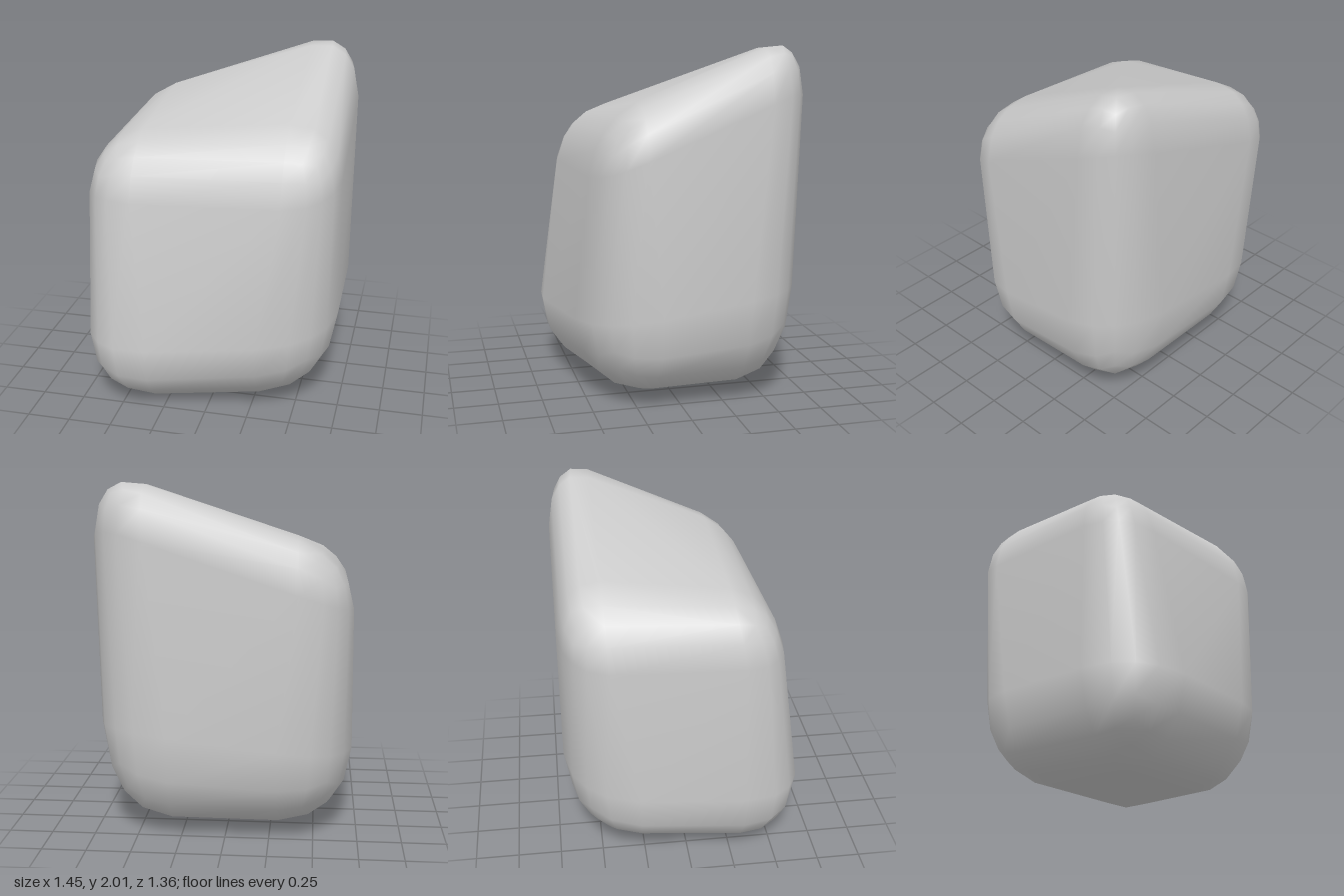
import * as THREE from 'three';
import { mergeVertices } from 'three/addons/utils/BufferGeometryUtils.js';

// Corners of the boulder's enclosing block: [x, y, z]
const BOTTOM = {
  frontLeft: [0.72, 0.06, 0.51], frontRight: [-0.75, -0.07, 0.82],
  backLeft: [0.72, 0.05, -0.7], backRight: [-0.71, 0.06, -0.7],
};
const TOP = {
  frontLeft: [0.72, 1.6, 0.47], frontRight: [-0.7, 1.6, 0.5],
  backLeft: [0.72, 2.21, -0.7], backRight: [-0.7, 1.62, -0.7],
};

const mix = (a, b, t) => a.map((v, i) => v + (b[i] - v) * t);

// Blend the four corners of one level
function level(c, s, t) {
  return mix(mix(c.backRight, c.backLeft, s), mix(c.frontRight, c.frontLeft, s), t);
}

// Round the cube: flat middles, tighter edges at the top, broader ones below
function roundOff(u) {
  const core = u[1] > 0 ? [0.58, 0.62, 0.58] : [0.42, 0.42, 0.42];
  const n = u.map((v) => Math.max(0, (Math.abs(v) - 0.2) / 0.8));
  const len = Math.hypot(...n);
  return u.map((v, i) => Math.sign(v) * (core[i] + ((1 - core[i]) * n[i]) / len));
}

// Fit the rounded cube into the skewed block, tapering the front underside
function warp(u) {
  const [px, py, pz] = roundOff(u);
  const s = (px + 1) / 2, t = (pz + 1) / 2;
  const [x, y, z] = mix(level(BOTTOM, s, t), level(TOP, s, t), (py + 1) / 2);
  const under = Math.max(0, (-py - 0.5) / 0.5);
  return [x, y, z > 0 ? z * (1 - 0.15 * under) : z];
}

export function createModel() {
  const group = new THREE.Group();
  group.name = 'boulder';

  let geometry = new THREE.BoxGeometry(2, 2, 2, 5, 5, 5);
  geometry.deleteAttribute('uv');
  geometry.deleteAttribute('normal');
  geometry = mergeVertices(geometry, 1e-3);

  const pos = geometry.attributes.position;
  for (let i = 0; i < pos.count; i++) {
    // snap to the grid so the core rows are exact
    const u = [pos.getX(i), pos.getY(i), pos.getZ(i)].map((v) => Math.round(v * 5) / 5);
    pos.setXYZ(i, ...warp(u));
  }

  // Stand on the ground
  geometry.computeBoundingBox();
  geometry.translate(0, -geometry.boundingBox.min.y, 0);
  geometry.computeVertexNormals();

  const rock = new THREE.Mesh(geometry, new THREE.MeshStandardMaterial({ color: 0xcccccc }));
  rock.name = 'rock';
  group.add(rock);
  return group;
}
